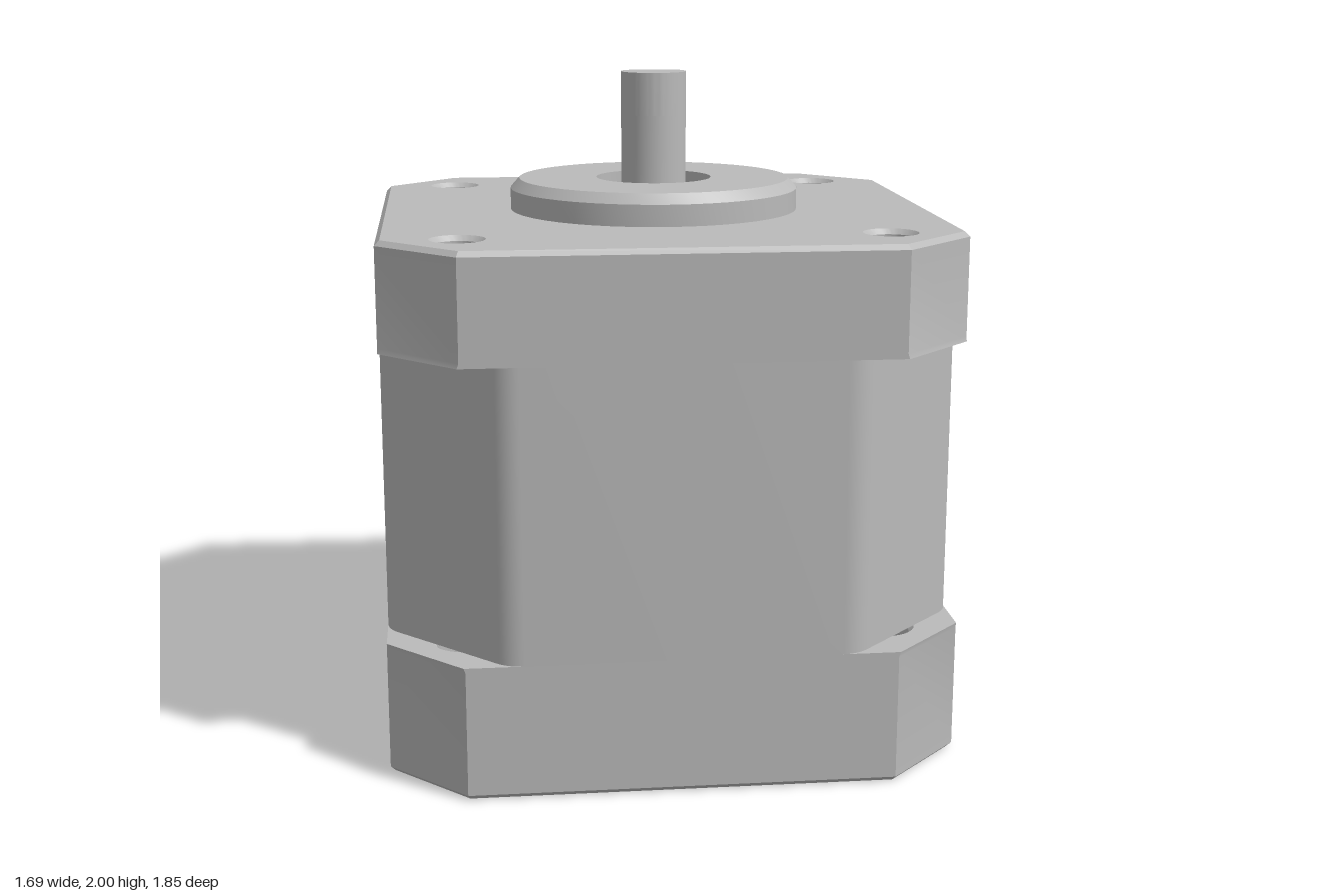
import * as THREE from 'three';
import { toCreasedNormals } from 'three/addons/utils/BufferGeometryUtils.js';

const HALF = 0.845;   // half width of the square body
const SCREW = 0.615;  // screw offset from the axis
const BEVEL = 0.015;

export function createModel() {
  const steel = new THREE.MeshStandardMaterial({ color: 0xbababa });
  steel.name = 'grey steel';
  const model = new THREE.Group();
  model.name = 'steppingMotor';
  const body = new THREE.Group();
  body.name = 'motorBody';
  body.position.z = 0.075;
  model.add(body);

  const add = (name, geometry, x = 0, y = 0, z = 0) => {
    const mesh = new THREE.Mesh(toCreasedNormals(geometry, 0.5), steel);
    mesh.name = name;
    mesh.position.set(x, y, z);
    body.add(mesh);
    return mesh;
  };
  // Plan shapes use +y for the back; extrusion runs upwards
  const extrudeUp = (shape, depth, options = {}) =>
    new THREE.ExtrudeGeometry(shape, { depth, bevelEnabled: false, curveSegments: 32, ...options }).rotateX(-Math.PI / 2);
  const lathe = (points) => new THREE.LatheGeometry(points.map(([r, y]) => new THREE.Vector2(r, y)), 48);
  const circle = (r, x = 0, y = 0) => new THREE.Path().absarc(x, y, r, 0, Math.PI * 2, false);
  const corners = [[1, 1], [-1, 1], [-1, -1], [1, -1]];

  // End cap: chamfered square with holes, bevelled on its outer face only
  function endCap(name, y0, y1, holeRadius, boreRadius, notched, outerIsTop) {
    const c = 0.62;
    const outline = [[HALF, -c], [HALF, c], [c, HALF]];
    if (notched) outline.push([0.32, HALF], [0.32, 0.645], [-0.32, 0.645], [-0.32, HALF]);
    outline.push([-c, HALF], [-HALF, c], [-HALF, -c], [-c, -HALF], [c, -HALF]);
    const shape = new THREE.Shape(outline.map(([x, y]) => new THREE.Vector2(x, y)));
    shape.holes.push(circle(boreRadius));
    for (const [sx, sy] of corners) shape.holes.push(circle(holeRadius, sx * SCREW, sy * SCREW));
    const geometry = extrudeUp(shape, y1 - y0 - 2 * BEVEL, {
      bevelEnabled: true, bevelSize: BEVEL, bevelThickness: BEVEL, bevelOffset: -BEVEL, bevelSegments: 1,
    }).translate(0, y0 + BEVEL, 0);
    // Push the inner rim back out to full width
    const p = geometry.attributes.position;
    const inner = outerIsTop ? y0 : y1;
    const k = HALF / (HALF - BEVEL);
    for (let i = 0; i < p.count; i++) {
      const reach = Math.max(Math.abs(p.getX(i)), Math.abs(p.getZ(i)));
      if (Math.abs(p.getY(i) - inner) < 1e-4 && reach > 0.8) {
        p.setX(i, p.getX(i) * k);
        p.setZ(i, p.getZ(i) * k);
      }
    }
    add(name, geometry);
  }
  endCap('bottomCap', 0, 0.4, 0.085, 0.15, true, false);
  endCap('topCap', 1.26, 1.58, 0.065, 0.2, false, true);

  // Stator block: wider chamfers with softened corners
  const stator = new THREE.Shape();
  const v = 0.5, t = 0.455, d = 0.032;
  corners.forEach(([sx, sy], i) => {
    let ends = [[HALF, t, HALF, v, HALF - d, v + d], [v + d, HALF - d, v, HALF, t, HALF]];
    if (i % 2) ends = ends.reverse().map((e) => [e[4], e[5], e[2], e[3], e[0], e[1]]);
    ends.forEach(([ax, ay, bx, by, cx, cy], j) => {
      if (i === 0 && j === 0) stator.moveTo(sx * ax, sy * ay);
      else stator.lineTo(sx * ax, sy * ay);
      stator.quadraticCurveTo(sx * bx, sy * by, sx * cx, sy * cy);
    });
  });
  add('statorBlock', extrudeUp(stator, 0.86, { curveSegments: 8 }), 0, 0.4);

  // Raised pilot ring with the bearing recess
  add('pilotRing', lathe([
    [0.445, 1.57], [0.445, 1.645], [0.418, 1.675], [0.178, 1.675], [0.178, 1.57],
    [0.155, 1.57], [0.155, 1.5], [0.11, 1.5], [0.11, 1.48], [0.09, 1.48],
  ]));

  // Shaft with a flat near its tip
  add('shaft', new THREE.CylinderGeometry(0.1, 0.1, 0.47, 48), 0, 1.635);
  const a = Math.asin(0.65);
  const dShape = new THREE.Shape().absarc(0, 0, 0.1, Math.PI - a, Math.PI * 2 + a, false);
  add('shaftTip', extrudeUp(dShape, 0.13), 0, 1.87);

  // Rear bore liner
  add('rearBore', lathe([[0, 0.25], [0.12, 0.25], [0.12, 0.12], [0.151, 0.12], [0.151, 0.012]]));

  // Threaded hole ends above, hex socket screws below
  const head = new THREE.Shape().absarc(0, 0, 0.08, 0, Math.PI * 2, false);
  const hex = Array.from({ length: 6 }, (_, i) =>
    new THREE.Vector2(0.05 * Math.cos(i * Math.PI / 3), 0.05 * Math.sin(i * Math.PI / 3)));
  head.holes.push(new THREE.Path(hex));
  for (const [sx, sz] of corners) {
    const x = sx * SCREW, z = sz * SCREW;
    add('threadedHoleEnd', lathe([[0.066, 1.5], [0, 1.45]]), x, 0, z);
    add('screwHead', extrudeUp(head, 0.1), x, 0.012, z);
    add('screwSocketFloor', new THREE.CylinderGeometry(0.08, 0.08, 0.02, 32), x, 0.08, z);
  }

  // Cable connector in the rear notch, with a stepped top
  function connectorPlate(name, halfWidth, back, y0, y1) {
    const r = 0.04, front = 0.64;
    const s = new THREE.Shape();
    s.moveTo(-halfWidth, front);
    s.lineTo(halfWidth, front);
    s.lineTo(halfWidth, back - r);
    s.quadraticCurveTo(halfWidth, back, halfWidth - r, back);
    s.lineTo(-halfWidth + r, back);
    s.quadraticCurveTo(-halfWidth, back, -halfWidth, back - r);
    add(name, extrudeUp(s, y1 - y0, { curveSegments: 6 }), 0, y0);
  }
  connectorPlate('connectorBase', 0.315, 1.0, 0.01, 0.13);
  connectorPlate('connectorTop', 0.3, 0.985, 0.13, 0.16);

  return model;
}
